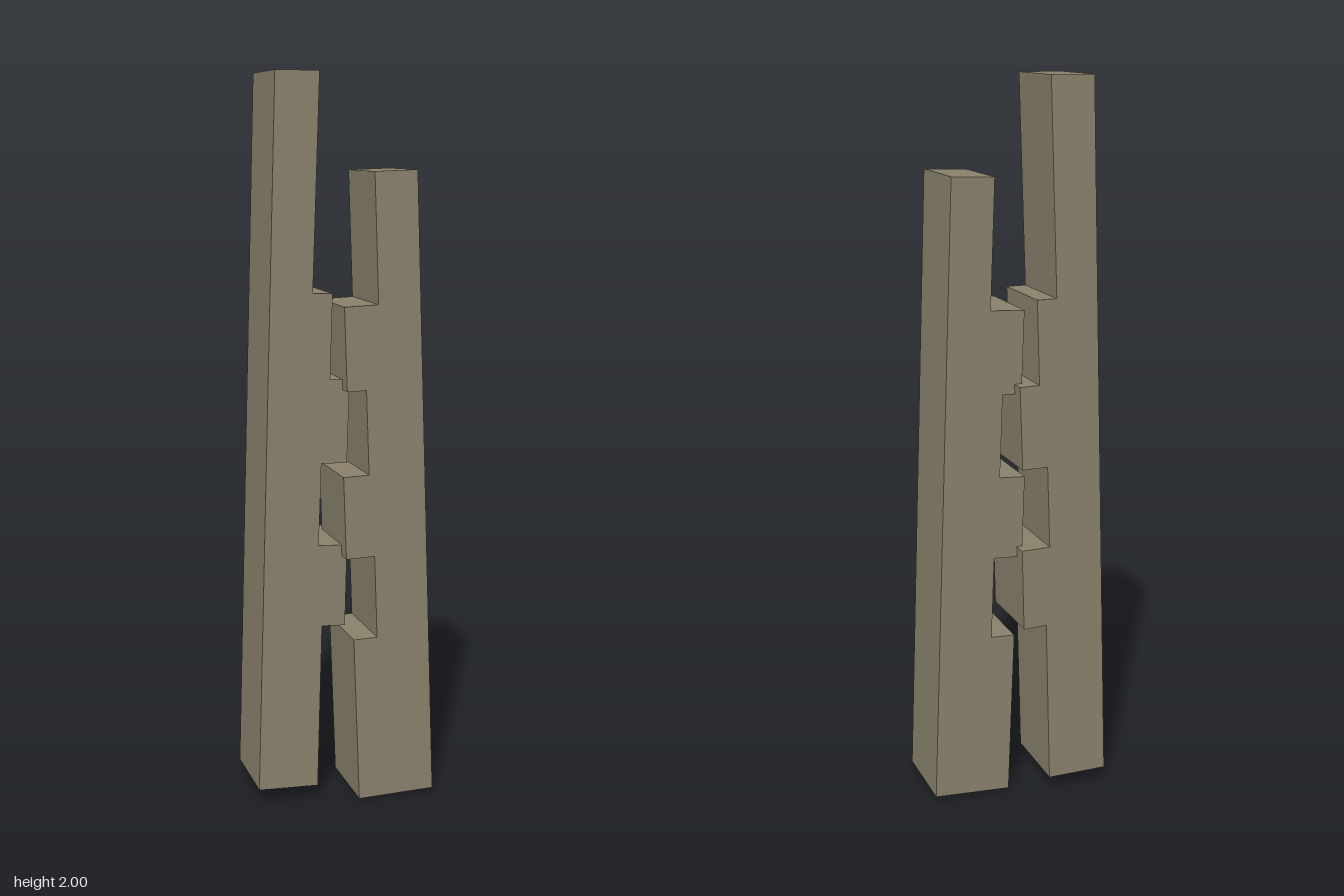
import * as THREE from 'three';

const stone = new THREE.MeshStandardMaterial({ color: 0x89806b });
stone.name = 'weathered stone';

// Extrude a stepped outline between two z planes
function pillar(name, outline, zBack, zFront) {
  const shape = new THREE.Shape(outline.map(([x, y]) => new THREE.Vector2(x, y)));
  const geometry = new THREE.ExtrudeGeometry(shape, { depth: zFront - zBack, bevelEnabled: false });
  geometry.translate(0, 0, zBack);
  const mesh = new THREE.Mesh(geometry, stone);
  mesh.name = name;
  return mesh;
}

export function createModel() {
  const group = new THREE.Group();
  group.name = 'steppedPillars';

  // Tall leaning pillar with three teeth facing inwards
  group.add(pillar('tallPillar', [
    [-0.248, 0.04], [-0.079, 0.035],
    [-0.066, 0.5], [0.0, 0.497], [0.006, 0.726],
    [-0.075, 0.729], [-0.067, 0.958], [0.005, 0.956], [0.013, 1.186],
    [-0.042, 1.188], [-0.035, 1.419], [-0.09, 1.42],
    [-0.07, 2], [-0.19, 2],
  ], -0.143, 0.098));

  // Short pillar leaning the other way, set slightly forward
  group.add(pillar('shortPillar', [
    [0.03, 0], [0.247, 0.008], [0.187, 1.745], [0.068, 1.741],
    [0.08, 1.39], [-0.015, 1.386], [-0.007, 1.158],
    [0.047, 1.16], [0.055, 0.928], [-0.017, 0.925], [-0.009, 0.696],
    [0.072, 0.699], [0.08, 0.468], [0.013, 0.466],
  ], -0.099, 0.142));

  return group;
}
